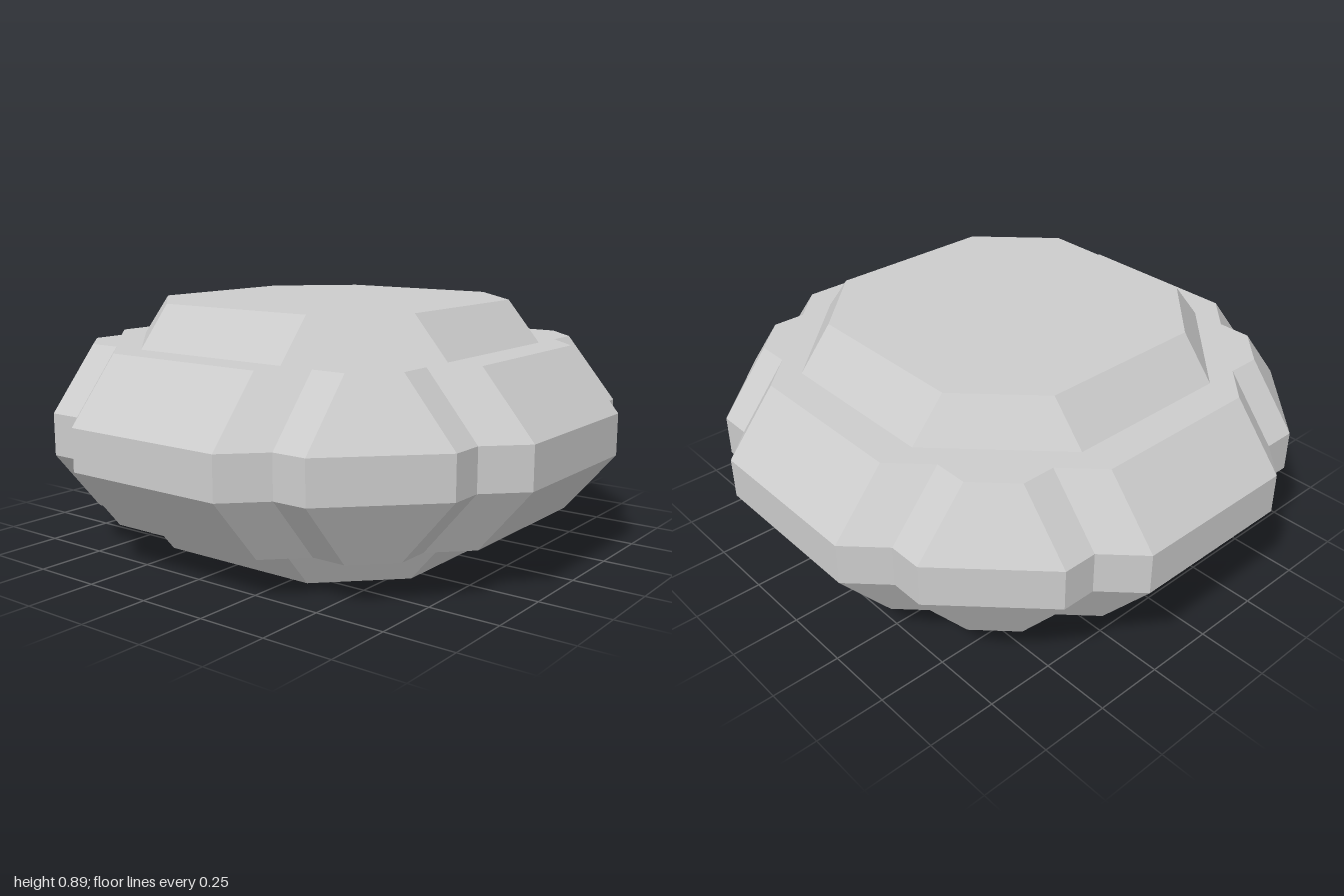
import * as THREE from 'three';

// Repeat one quadrant of [x, z] points four times around the vertical axis
function ring(quadrant, y) {
  const points = [];
  for (let q = 0; q < 4; q++) {
    for (const [px, pz] of quadrant) {
      let x = px, z = pz;
      for (let k = 0; k < q; k++) [x, z] = [-z, x];
      points.push([x, y, z]);
    }
  }
  return points;
}

// Join rings from bottom to top and close both ends
function loft(rings) {
  const pos = [];
  const tri = (a, b, c) => pos.push(...a, ...b, ...c);
  const n = rings[0].length;
  const low = rings[0], high = rings[rings.length - 1];
  for (let i = 0; i < n; i++) {
    const j = (i + 1) % n;
    for (let r = 0; r < rings.length - 1; r++) {
      const a = rings[r], b = rings[r + 1];
      tri(a[i], b[i], b[j]);
      tri(a[i], b[j], a[j]);
    }
    tri([0, low[0][1], 0], low[i], low[j]);
    tri([0, high[0][1], 0], high[j], high[i]);
  }
  const geometry = new THREE.BufferGeometry();
  geometry.setAttribute('position', new THREE.Float32BufferAttribute(pos, 3));
  geometry.computeVertexNormals();
  return geometry;
}

// Notched outline: flat side, step, diagonal side, step
const notched = (side, step) => [
  [side, 0.312], [step, 0.437], [step, 0.56],
  [0.56, step], [0.437, step], [0.312, side],
];

// Octagon with its diagonal side split to match the notched outline
const octagon = (side) => [0, 0.17, 0.33, 0.67, 0.83, 1].map((t) => [
  THREE.MathUtils.lerp(side, 0.312, t), THREE.MathUtils.lerp(0.312, side, t),
]);

export function createModel() {
  const group = new THREE.Group();
  group.name = 'facetedStone';
  const stone = new THREE.MeshStandardMaterial({ color: 0xcccccc });
  stone.name = 'light grey';

  // Raised plate, sloped body, upright belt, and the same mirrored above
  const body = new THREE.Mesh(loft([
    ring(octagon(0.56), 0),
    ring(octagon(0.687), 0.148),
    ring(notched(0.812, 0.687), 0.148),
    ring(notched(1, 0.875), 0.371),
    ring(notched(1, 0.875), 0.52),
    ring(notched(0.812, 0.687), 0.743),
    ring(octagon(0.687), 0.743),
    ring(octagon(0.56), 0.891),
  ]), stone);
  body.name = 'stoneBody';
  group.add(body);
  return group;
}
